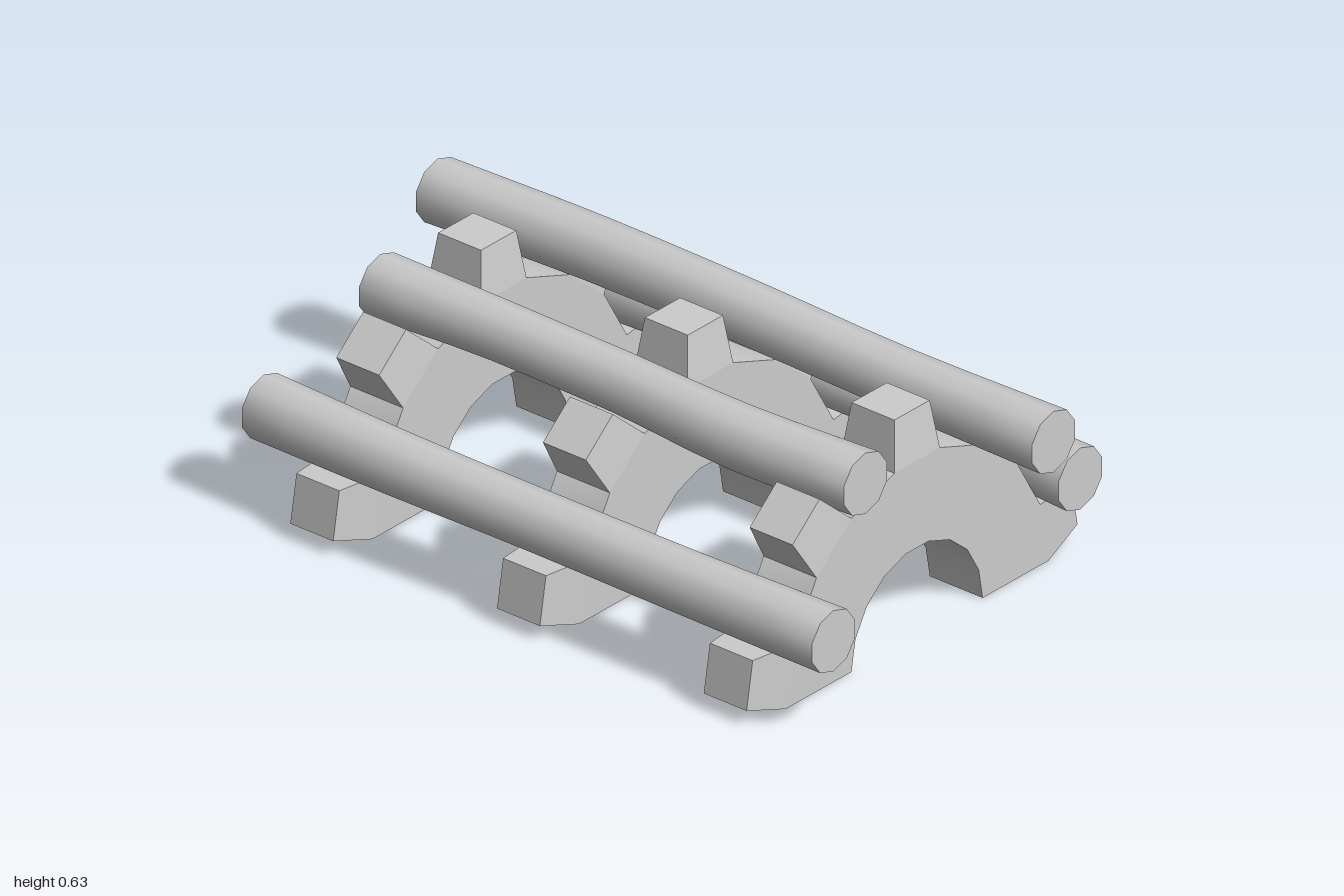
import * as THREE from 'three';
import { toCreasedNormals } from 'three/addons/utils/BufferGeometryUtils.js';

const material = new THREE.MeshStandardMaterial({ color: 0xcccccc });
const THICK = 0.172, INNER = 0.25, BASE = 0.5, TIP = 0.632;

const polar = (r, deg) => new THREE.Vector2(
  r * Math.cos(THREE.MathUtils.degToRad(deg)), r * Math.sin(THREE.MathUtils.degToRad(deg)));

function extrude(points) {
  const geo = new THREE.ExtrudeGeometry(new THREE.Shape(points), { depth: THICK, bevelEnabled: false });
  return geo.translate(0, 0, -THICK / 2);
}

function addMesh(parent, geo, name, crease) {
  const mesh = new THREE.Mesh(toCreasedNormals(geo, crease), material);
  mesh.name = name;
  parent.add(mesh);
  return mesh;
}

// Half ring with nine facets and a tapered tooth on every second facet
function createCradle() {
  const cradle = new THREE.Group();
  cradle.name = 'toothedCradle';
  const outer = [], inner = [];
  for (let a = 0; a <= 180; a += 20) {
    outer.push(polar(BASE, a));
    inner.unshift(polar(INNER, a));
  }
  addMesh(cradle, extrude([...outer, ...inner]), 'halfRing', 0.6);

  for (let a = 10; a < 180; a += 40) {
    const geo = extrude([polar(BASE, a - 10), polar(TIP, a - 6.1), polar(TIP, a + 6.1), polar(BASE, a + 10)]);
    const p = geo.attributes.position;
    // the tip is also thinner front to back
    for (let i = 0; i < p.count; i++) {
      if (Math.hypot(p.getX(i), p.getY(i)) > 0.6) p.setZ(i, p.getZ(i) * 0.81);
    }
    addMesh(cradle, geo, 'tooth', 0.2);
  }
  return cradle;
}

// Crooked log from z0 to z1; each knot is [x, y, radius], evenly spaced back to front
function createLog(z0, z1, knots) {
  const path = new THREE.CatmullRomCurve3(knots.map((k) => new THREE.Vector3(...k)));
  const geo = new THREE.CylinderGeometry(1, 1, 1, 10, 12);
  geo.rotateX(Math.PI / 2);
  const p = geo.attributes.position;
  const c = new THREE.Vector3();
  for (let i = 0; i < p.count; i++) {
    const t = THREE.MathUtils.clamp(p.getZ(i) + 0.5, 0, 1);
    path.getPoint(t, c);
    p.setXYZ(i, c.x + p.getX(i) * c.z, c.y + p.getY(i) * c.z, THREE.MathUtils.lerp(z0, z1, t));
  }
  return geo;
}

export function createModel() {
  const model = new THREE.Group();
  model.name = 'logRack';

  // Three cradles along the depth
  for (const z of [-0.675, -0.003, 0.669]) {
    const cradle = createCradle();
    cradle.position.z = z;
    model.add(cradle);
  }

  // Four logs resting between the teeth
  const logs = [
    ['lowerRightLog', -0.93, 0.925, [[-0.515, 0.262, 0.087], [-0.531, 0.266, 0.082], [-0.522, 0.26, 0.079],
      [-0.521, 0.258, 0.081], [-0.518, 0.26, 0.086]]],
    ['upperRightLog', -0.79, 0.785, [[-0.234, 0.536, 0.086], [-0.23, 0.542, 0.077], [-0.232, 0.538, 0.077],
      [-0.249, 0.533, 0.084], [-0.232, 0.535, 0.086]]],
    ['upperLeftLog', -1, 1, [[0.23, 0.535, 0.087], [0.248, 0.539, 0.083], [0.238, 0.543, 0.081],
      [0.236, 0.532, 0.08], [0.233, 0.535, 0.086]]],
    ['lowerLeftLog', -0.855, 0.85, [[0.513, 0.261, 0.086], [0.517, 0.266, 0.08], [0.515, 0.262, 0.078],
      [0.534, 0.254, 0.08], [0.511, 0.261, 0.087]]],
  ];
  for (const [name, z0, z1, knots] of logs) addMesh(model, createLog(z0, z1, knots), name, 0.9);

  return model;
}
